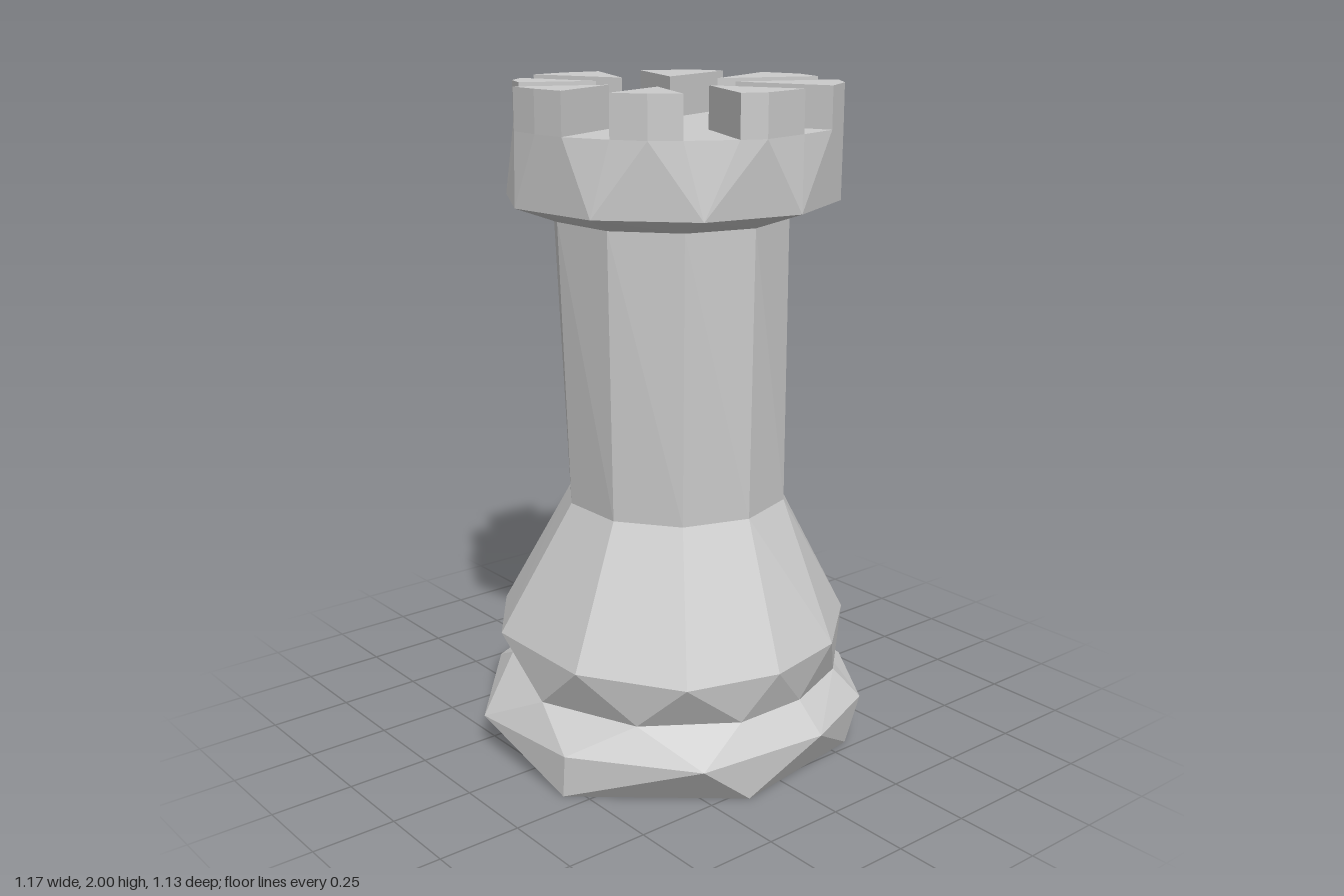
import * as THREE from 'three';

const material = new THREE.MeshStandardMaterial({ color: 0xcccccc, flatShading: true });

// Regular ring of [x, z] points
function circle(n, r, phase = 0, cx = 0, cz = 0) {
  return Array.from({ length: n }, (_, i) => {
    const a = phase + (i / n) * Math.PI * 2;
    return [cx + r * Math.cos(a), cz - r * Math.sin(a)];
  });
}

// Faceted skin through stacked rings { y, pts }; a point may carry its own height.
// Rings may have different point counts and are zipped together by angle.
function loft(name, rings, capBottom = false, capTop = false) {
  const first = rings[0].pts;
  const cx = first.reduce((s, p) => s + p[0], 0) / first.length;
  const cz = first.reduce((s, p) => s + p[1], 0) / first.length;
  const loops = rings.map(({ y, pts }) => {
    const loop = pts
      .map(([x, z, h = y]) => ({ a: Math.atan2(cz - z, x - cx), v: [x, h, z] }))
      .sort((p, q) => p.a - q.a);
    loop.push({ a: loop[0].a + Math.PI * 2, v: loop[0].v });
    return loop;
  });
  const pos = [];
  const tri = (a, b, c) => pos.push(...a, ...b, ...c);
  for (let k = 0; k < loops.length - 1; k++) {
    const L = loops[k], U = loops[k + 1];
    let i = 0, j = 0;
    while (i < L.length - 1 || j < U.length - 1) {
      const l = i < L.length - 1 ? L[i].a + L[i + 1].a : Infinity;
      const u = j < U.length - 1 ? U[j].a + U[j + 1].a : Infinity;
      if (l <= u) { tri(L[i].v, L[i + 1].v, U[j].v); i++; }
      else { tri(L[i].v, U[j + 1].v, U[j].v); j++; }
    }
  }
  const cap = (loop, y, up) => {
    for (let i = 0; i < loop.length - 1; i++) {
      const [p, q] = up ? [loop[i].v, loop[i + 1].v] : [loop[i + 1].v, loop[i].v];
      tri([cx, y, cz], p, q);
    }
  };
  if (capBottom) cap(loops[0], rings[0].y, false);
  if (capTop) cap(loops[loops.length - 1], rings[rings.length - 1].y, true);
  const geometry = new THREE.BufferGeometry();
  geometry.setAttribute('position', new THREE.Float32BufferAttribute(pos, 3));
  geometry.computeVertexNormals();
  const mesh = new THREE.Mesh(geometry, material);
  mesh.name = name;
  return mesh;
}

export function createModel() {
  const group = new THREE.Group();
  group.name = 'rook';

  // Irregular, hand-cut outlines of the foot
  const sole = [[0.54, 0.14], [0.19, 0.55], [-0.46, 0.31], [-0.47, -0.24],
    [-0.2, -0.53], [0.2, -0.555], [0.47, -0.32]];
  const rim = [[0.585, -0.1, 0.14], [0.525, 0.3], [0.2, 0.55], [-0.2, 0.565, 0.11],
    [-0.47, 0.325, 0.15], [-0.59, 0.04, 0.12], [-0.505, -0.32], [-0.34, -0.47],
    [-0.18, -0.555], [0.19, -0.57], [0.46, -0.39]];
  const waist = [[0.49, 0.13], [0.32, 0.38], [0.02, 0.5], [-0.33, 0.37], [-0.48, 0.1],
    [-0.47, -0.2], [-0.3, -0.4], [-0.05, -0.49], [0.2, -0.45], [0.4, -0.33], [0.49, -0.1]];
  const bulge = [[0.54, 0.03, 0.36], [0.46, 0.31, 0.36], [0.19, 0.5], [-0.19, 0.5], [-0.42, 0.33],
    [-0.5, 0.18], [-0.525, -0.08], [-0.42, -0.34], [-0.19, -0.51], [0.07, -0.54],
    [0.31, -0.45], [0.5, -0.22]];
  const columnFoot = circle(10, 0.335, 0, 0.015, -0.015);
  const columnTop = circle(10, 0.35, 0.06, 0.01, 0.005);

  group.add(loft('base', [{ y: 0, pts: sole }, { y: 0.13, pts: rim }, { y: 0.22, pts: waist }], true));
  group.add(loft('flare', [{ y: 0.22, pts: waist }, { y: 0.37, pts: bulge }, { y: 0.77, pts: columnFoot }]));
  group.add(loft('column', [{ y: 0.77, pts: columnFoot }, { y: 1.62, pts: columnTop }]));

  // Battlement wedges: inner tip, corner, outer middle, corner
  const wedges = [
    [[0.015, -0.17], [-0.11, -0.46], [0.02, -0.495], [0.135, -0.46]],
    [[0.15, -0.12], [0.27, -0.41], [0.365, -0.34], [0.43, -0.23]],
    [[0.21, 0.03], [0.465, -0.09], [0.495, 0.07], [0.465, 0.14]],
    [[0.16, 0.17], [0.39, 0.27], [0.335, 0.345], [0.245, 0.4]],
    [[0.02, 0.23], [0.115, 0.46], [0.01, 0.473], [-0.09, 0.473]],
    [[-0.12, 0.17], [-0.215, 0.37], [-0.3, 0.335], [-0.36, 0.265]],
    [[-0.18, 0.03], [-0.46, 0.15], [-0.475, 0.03], [-0.455, -0.09]],
    [[-0.13, -0.11], [-0.41, -0.22], [-0.335, -0.37], [-0.235, -0.41]],
  ];

  // Head: underside, sloping wall and floor
  group.add(loft('head', [
    { y: 1.62, pts: columnTop },
    { y: 1.67, pts: circle(10, 0.49, 0.12, 0.01, 0) },
    { y: 1.88, pts: wedges.flatMap((w) => w.slice(1)) },
  ], false, true));

  const battlements = new THREE.Group();
  battlements.name = 'battlements';
  for (const pts of wedges) {
    battlements.add(loft('merlon', [{ y: 1.88, pts }, { y: 2, pts }], false, true));
  }
  group.add(battlements);
  return group;
}
